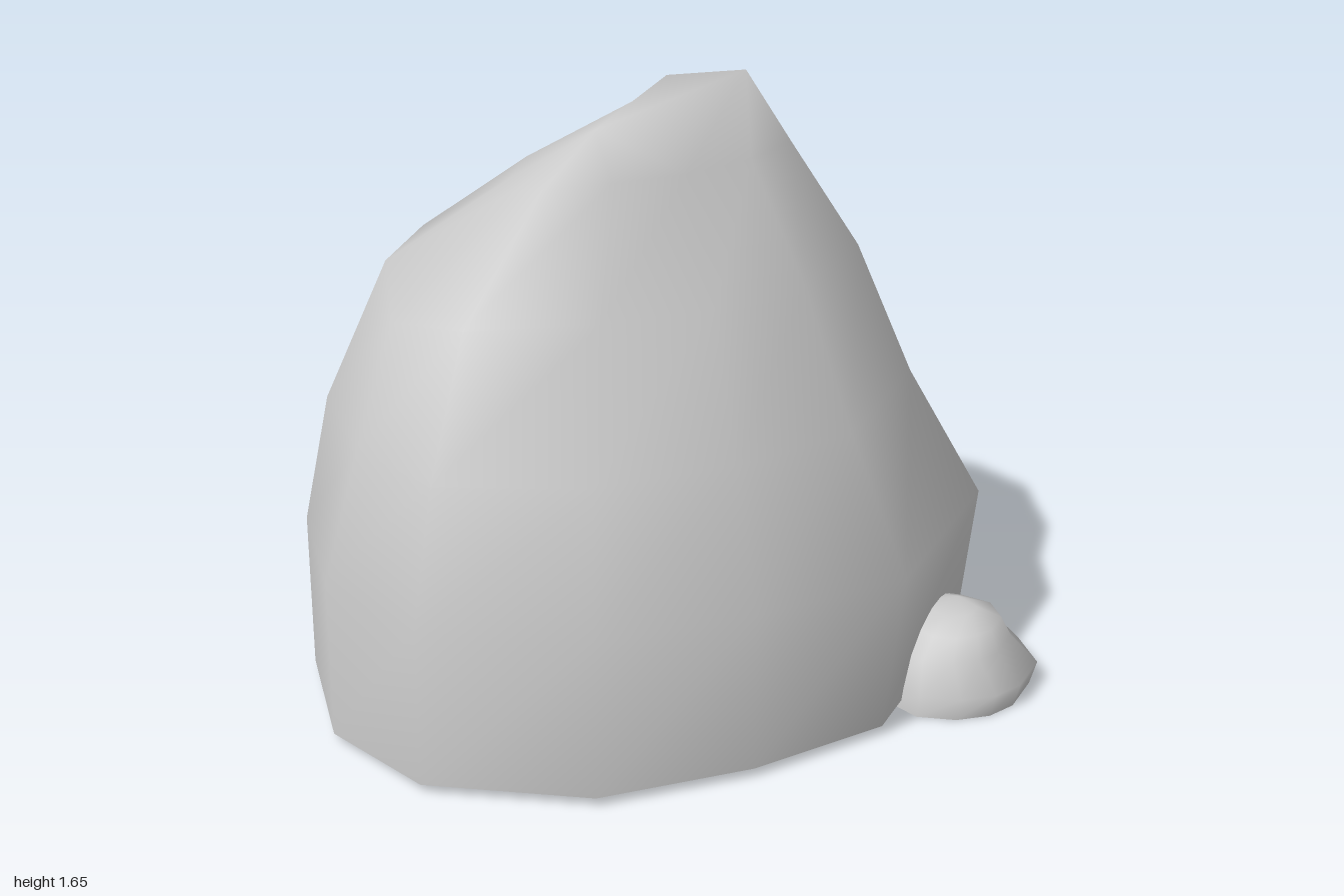
import * as THREE from 'three';

const stone = new THREE.MeshStandardMaterial({ color: 0xcccccc, side: THREE.DoubleSide });

// Skins a stack of closed rings of [x, y, z], sharing coincident points so the stone is smooth;
// the seam of the first creaseRings rings stays split, which leaves a sharp vertical edge.
function skin(name, rings, capColumns, creaseRings) {
  const cols = rings[0].length, pos = [], index = [], ids = new Map();
  const id = (j, i) => {
    const p = rings[j][i % cols];
    const key = p.join() + (i === cols && j < creaseRings ? 'seam' : '');
    if (!ids.has(key)) {
      ids.set(key, pos.length / 3);
      pos.push(...p);
    }
    return ids.get(key);
  };
  const triangle = (a, b, c) => {
    if (a !== b && b !== c && c !== a) index.push(a, b, c);
  };
  for (let j = 0; j < rings.length - 1; j++) {
    for (let i = 0; i < cols; i++) {
      const a = id(j, i), b = id(j, i + 1), c = id(j + 1, i), d = id(j + 1, i + 1);
      triangle(a, c, b);
      triangle(b, c, d);
    }
  }
  // Close the crown with a fan over the chosen columns
  const cap = capColumns.map(i => id(rings.length - 1, i));
  for (let k = 1; k < cap.length - 1; k++) triangle(cap[0], cap[k + 1], cap[k]);
  const geo = new THREE.BufferGeometry();
  geo.setAttribute('position', new THREE.Float32BufferAttribute(pos, 3));
  geo.setIndex(index);
  geo.computeVertexNormals();
  const mesh = new THREE.Mesh(geo, stone);
  mesh.name = name;
  return mesh;
}

// A ring at height y; a point may carry its own height as a third value
const level = (y, pts) => pts.map(([x, z, own = y]) => [x, own, z]);

function boulder() {
  // Widest outline, running from the back round by the left side to the front
  const wide = [[-0.1, -0.94], [0.31, -0.83], [0.53, -0.56], [0.81, -0.13], [0.66, 0.45], [0.31, 0.72],
    [-0.06, 0.93], [-0.51, 0.94], [-0.8, 0.73], [-0.97, 0.35], [-1, -0.08], [-0.61, -0.68]];
  // The foot tucks in on the +x side
  const foot = [wide[0], [0.22, -0.74], [0.46, -0.42], [0.76, -0.13], [0.61, 0.45], ...wide.slice(5)];
  const waist = [[-0.1, -0.86], [0.25, -0.73], [0.43, -0.48], [0.61, -0.12], [0.5, 0.35], [0.24, 0.6],
    [-0.08, 0.8], [-0.48, 0.85], [-0.72, 0.66], [-0.9, 0.33], [-0.94, -0.07], [-0.51, -0.56]];
  const shoulder = [[-0.05, -0.63, 1.18], [0.22, -0.53], [0.37, -0.34], [0.46, -0.1], [0.36, 0.25], [0.16, 0.46],
    [-0.1, 0.62], [-0.42, 0.72], [-0.66, 0.51, 1.1], [-0.75, 0.24], [-0.73, -0.06], [-0.4, -0.41]];
  const neck = [[-0.06, -0.36, 1.35], [0.12, -0.33, 1.43], [0.23, -0.2], [0.28, -0.06], [0.2, 0.12], [0.06, 0.28],
    [-0.1, 0.45, 1.48], [-0.27, 0.48], [-0.37, 0.37, 1.42], [-0.42, 0.2, 1.4], [-0.42, 0, 1.4], [-0.24, -0.2, 1.42]];
  // Crown: three peaks joined by sloping ridges
  const front = [-0.15, 1.6, 0.4], peak = [0.16, 1.65, -0.05], back = [-0.08, 1.58, -0.22];
  const between = front.map((v, i) => (v + back[i]) / 2);
  const crown = [back, peak, peak, peak, peak, front,
    front, front, front, front, between, back];
  return skin('boulder', [level(0.025, foot), level(0.46, wide), level(0.81, waist),
    level(1.17, shoulder), level(1.46, neck), crown], [0, 1, 5, 10], 3);
}

function pebble() {
  const outline = [[0.8, -0.11], [0.94, -0.05], [1, 0.09], [0.96, 0.23], [0.9, 0.3], [0.81, 0.34],
    [0.7, 0.34], [0.6, 0.26], [0.55, 0.12], [0.6, -0.02], [0.7, -0.12]];
  // [height, scale, lean] about the pebble's middle; the lean pulls the top towards the boulder
  const rings = [[0, 0.96, 0.01], [0.06, 1, 0], [0.15, 0.75, 0.02], [0.2, 0.58, 0.01], [0.23, 0.28, 0.01]]
    .map(([y, s, lean]) => level(y, outline.map(([x, z]) =>
      [0.78 + (x - 0.78) * s - lean, 0.12 + (z - 0.12) * s + lean])));
  return skin('pebble', rings, outline.map((_, i) => i), 0);
}

export function createModel() {
  const group = new THREE.Group();
  group.name = 'rocks';
  group.add(boulder(), pebble());
  return group;
}
